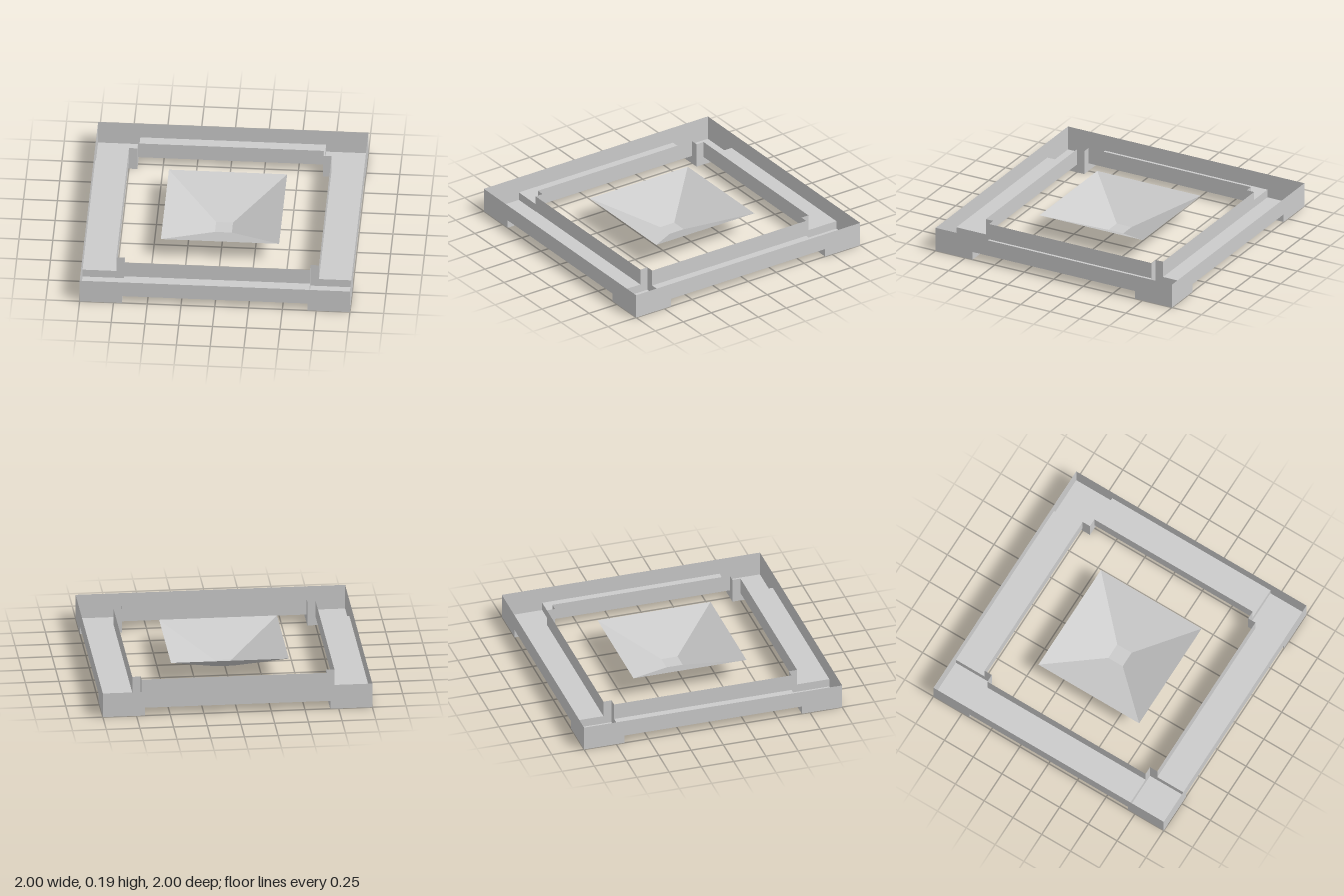
import * as THREE from 'three';

const H = 0.1875;      // rim height
const STEP = 0.0625;   // channel floor height, also the foot height
const FOOT = 0.6875;   // inner edge of the corner feet
const INNER = 0.75;    // inner wall of the channels

const material = new THREE.MeshStandardMaterial({
  color: 0xcccccc, flatShading: true, side: THREE.DoubleSide,
});

function add(parent, name, geometry) {
  const mesh = new THREE.Mesh(geometry, material);
  mesh.name = name;
  parent.add(mesh);
  return mesh;
}

// Upright sheet facing z
function wallZ(parent, name, x0, x1, y0, y1, z) {
  const g = new THREE.PlaneGeometry(x1 - x0, y1 - y0);
  add(parent, name, g.translate((x0 + x1) / 2, (y0 + y1) / 2, z));
}

// Upright sheet facing x
function wallX(parent, name, x, y0, y1, z0, z1) {
  const g = new THREE.PlaneGeometry(z1 - z0, y1 - y0).rotateY(Math.PI / 2);
  add(parent, name, g.translate(x, (y0 + y1) / 2, (z0 + z1) / 2));
}

// Level sheet
function floor(parent, name, x0, x1, y, z0, z1) {
  const g = new THREE.PlaneGeometry(x1 - x0, z1 - z0).rotateX(-Math.PI / 2);
  add(parent, name, g.translate((x0 + x1) / 2, y, (z0 + z1) / 2));
}

// One side of the open-topped frame, with the corner foot at its +x end
function createSide() {
  const side = new THREE.Group();
  wallZ(side, 'outerWall', -FOOT, FOOT, STEP, H, 1);
  wallZ(side, 'innerWall', -FOOT, FOOT, STEP, H, INNER);
  floor(side, 'channelFloor', -FOOT, FOOT, STEP, INNER, 1);

  // Corner foot: outer faces, bottom, steps up to the channels, inner post
  wallZ(side, 'footOuterWall', FOOT, 1, 0, H, 1);
  wallX(side, 'footOuterWall', 1, 0, H, FOOT, 1);
  floor(side, 'footBottom', FOOT, 1, 0, FOOT, 1);
  wallX(side, 'footStep', FOOT, 0, STEP, INNER, 1);
  wallZ(side, 'footStep', INNER, 1, 0, STEP, FOOT);
  wallX(side, 'footPost', FOOT, 0, H, FOOT, INNER);
  wallZ(side, 'footPost', FOOT, INNER, 0, H, FOOT);
  return side;
}

export function createModel() {
  const model = new THREE.Group();
  model.name = 'trayFrameWithDish';

  const frame = new THREE.Group();
  frame.name = 'frame';
  model.add(frame);
  for (let i = 0; i < 4; i++) {
    const side = createSide();
    side.name = 'frameSide' + (i + 1);
    side.rotation.y = i * Math.PI / 2;
    frame.add(side);
  }

  // Central open dish: four slopes down to a small flat bottom
  const dish = new THREE.Group();
  dish.name = 'dish';
  model.add(dish);
  const top = 0.4375, base = 0.0625;
  const slopes = new THREE.CylinderGeometry(top * Math.SQRT2, base * Math.SQRT2, H, 4, 1, true);
  add(dish, 'dishSlopes', slopes.rotateY(Math.PI / 4).translate(0, H / 2, 0));
  floor(dish, 'dishBottom', -base, base, 0, -base, base);

  return model;
}
